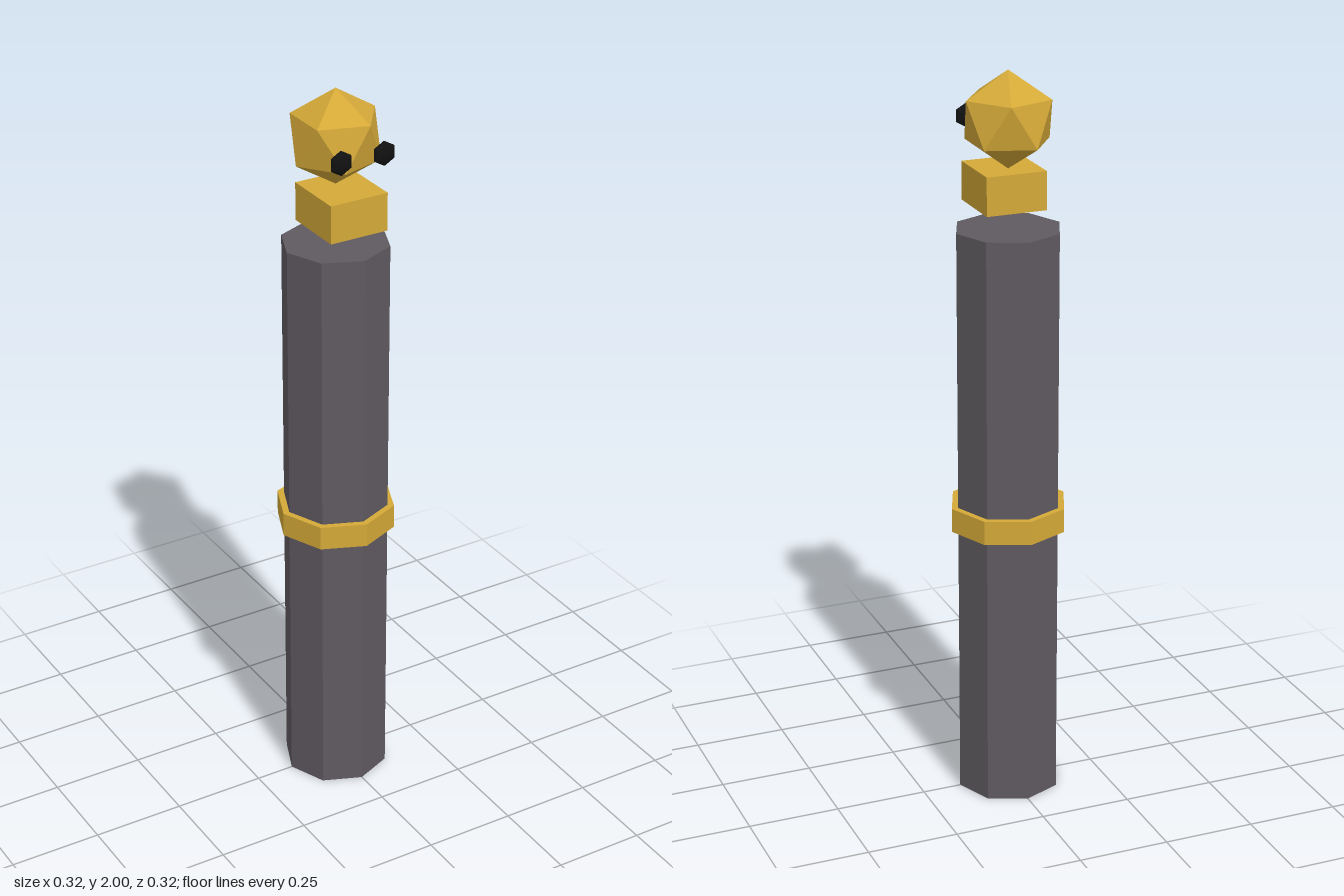
import * as THREE from 'three';

export function createModel() {
  const model = new THREE.Group();
  const material = (color) => new THREE.MeshStandardMaterial({ color, flatShading: true });
  const gold = material(0xd4a938);
  const iron = material(0x5f5a60);
  const black = material(0x111111);

  const add = (name, geometry, mat, x, y, z) => {
    const mesh = new THREE.Mesh(geometry, mat);
    mesh.name = name;
    mesh.position.set(x, y, z);
    model.add(mesh);
    return mesh;
  };

  // Octagonal post with a gold band around its middle
  add('post', new THREE.CylinderGeometry(0.143, 0.143, 1.587, 8), iron, 0, 0.7935, 0);
  add('band', new THREE.CylinderGeometry(0.161, 0.161, 0.066, 8), gold, 0, 0.797, 0);

  // Floating neck block, set slightly forward
  add('neck', new THREE.BoxGeometry(0.165, 0.103, 0.175), gold, 0, 1.692, 0.028);

  // Faceted head, tilted so that it stands on a corner
  const tilt = Math.atan(2 / (1 + Math.sqrt(5)));
  add('head', new THREE.IcosahedronGeometry(0.128, 0).rotateZ(-tilt), gold, 0, 1.872, 0);

  // Flattened six-sided eyes, mirrored left and right
  for (const side of [1, -1]) {
    const eye = new THREE.SphereGeometry(0.033, 6, 8).rotateX(Math.PI / 2).rotateZ(Math.PI / 2);
    eye.scale(1, 1, 0.38);
    add(side > 0 ? 'leftEye' : 'rightEye', eye, black, side * 0.062, 1.859, 0.13);
  }

  return model;
}
